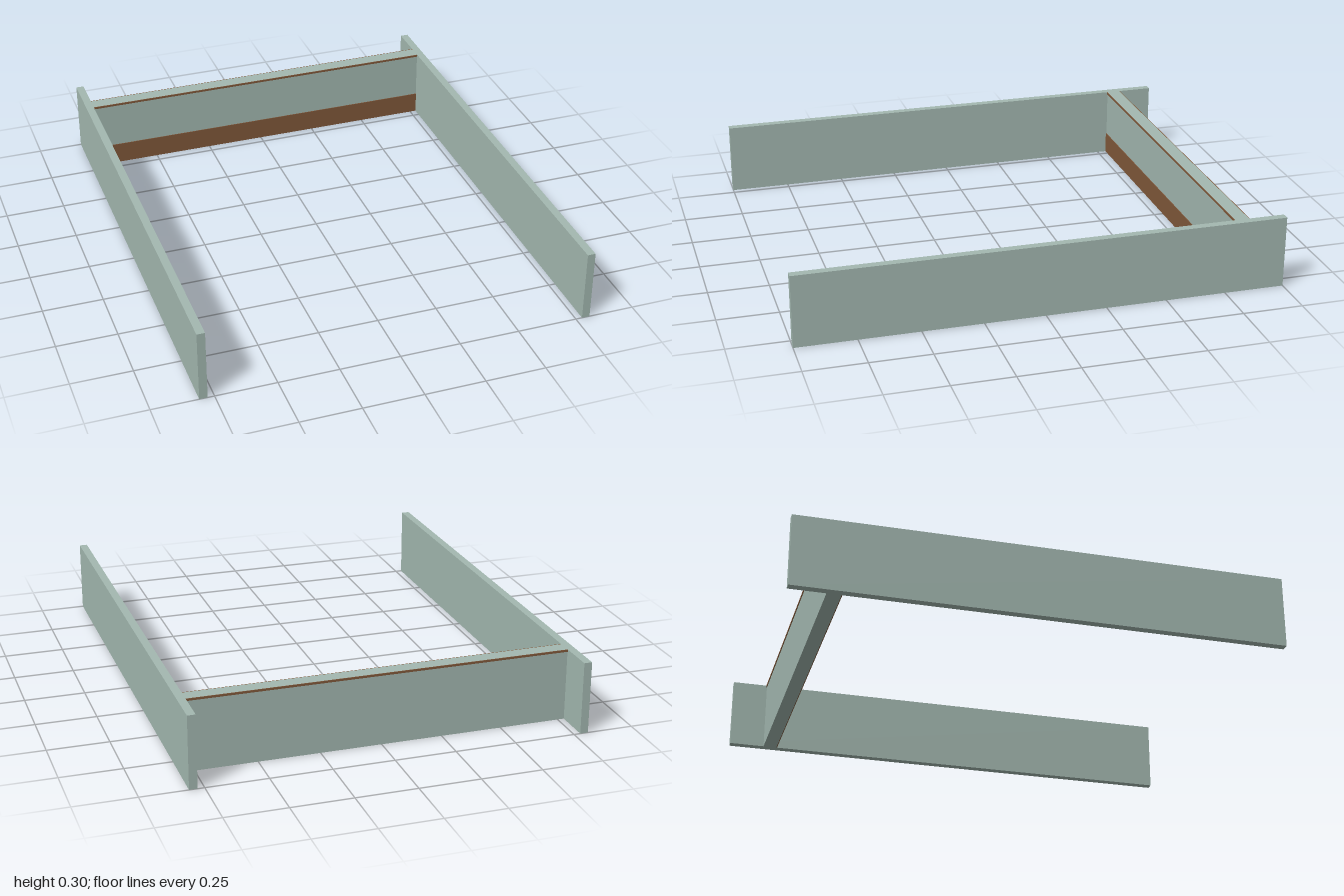
import * as THREE from 'three';

export function createModel() {
  const model = new THREE.Group();
  const paint = new THREE.MeshStandardMaterial({ color: 0xa3b8b0 });
  paint.name = 'sage paint';
  const wood = new THREE.MeshStandardMaterial({ color: 0x80583a });
  wood.name = 'brown wood';

  // box given by its minimum and maximum corners
  const addBox = (name, material, [x0, y0, z0], [x1, y1, z1]) => {
    const mesh = new THREE.Mesh(new THREE.BoxGeometry(x1 - x0, y1 - y0, z1 - z0), material);
    mesh.position.set((x0 + x1) / 2, (y0 + y1) / 2, (z0 + z1) / 2);
    mesh.name = name;
    model.add(mesh);
  };

  const height = 0.3, outer = 0.81, inner = 0.777;
  const back = -0.85, front = -0.792;

  // long side boards
  addBox('leftBoard', paint, [inner, 0, -1], [outer, height, 1]);
  addBox('rightBoard', paint, [-outer, 0, -1], [-inner, height, 1]);

  // cross board joining them near the back
  addBox('crossBoard', paint, [-inner, 0, back], [inner, height, front]);

  // bare wood strips on the faces of the cross board
  addBox('lowerFrontStrip', wood, [-inner, 0, front], [inner, 0.092, front + 0.003]);
  addBox('upperFrontStrip', wood, [-inner, 0.291, front], [inner, height, front + 0.003]);
  addBox('upperBackStrip', wood, [-inner, 0.291, back - 0.003], [inner, height, back]);

  return model;
}
